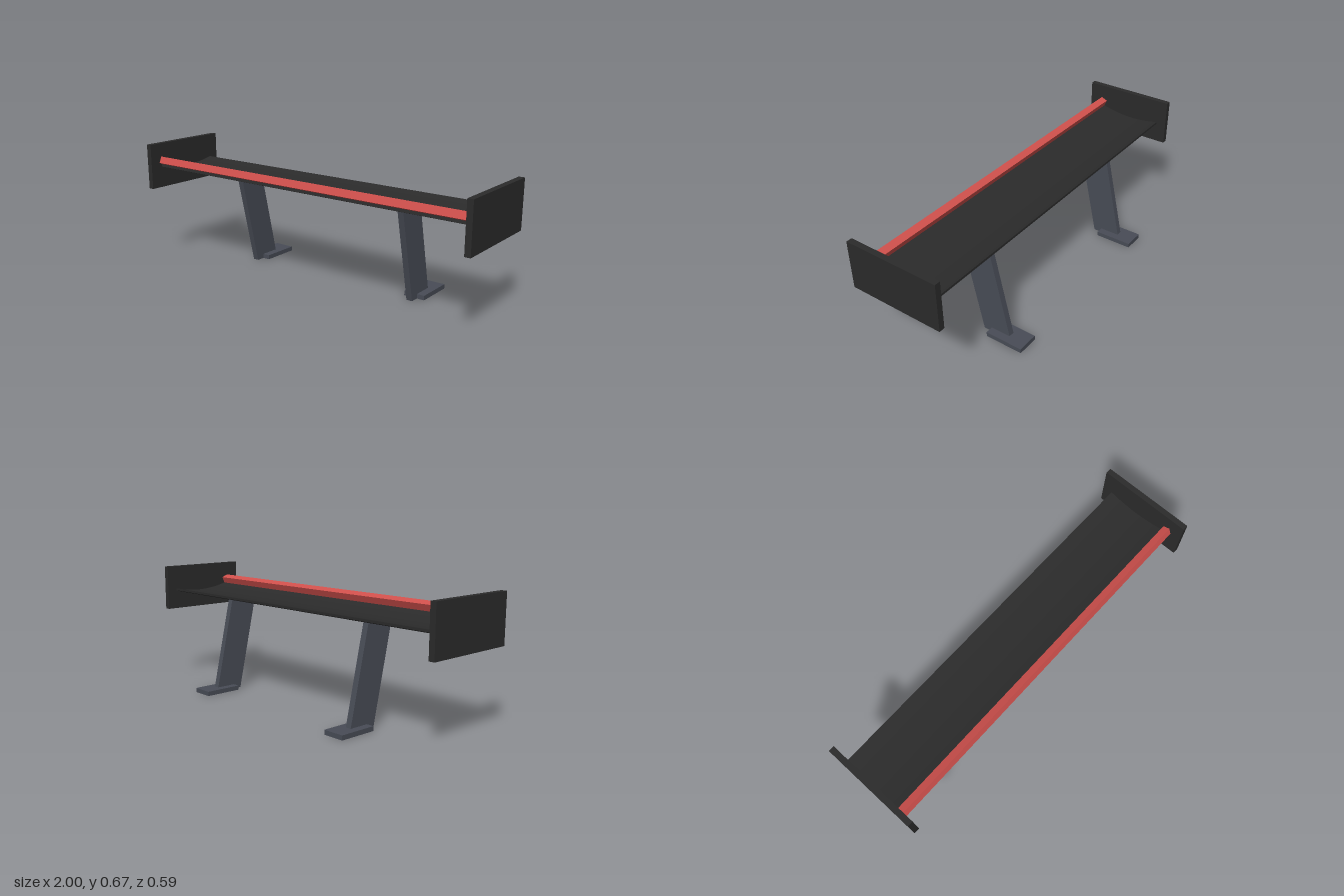
import * as THREE from 'three';
import { toCreasedNormals } from 'three/addons/utils/BufferGeometryUtils.js';

const carbon = new THREE.MeshStandardMaterial({ color: 0x2b2b2b });
carbon.name = 'carbon black';
const metal = new THREE.MeshStandardMaterial({ color: 0x484c56 });
metal.name = 'slate grey';
const red = new THREE.MeshStandardMaterial({ color: 0xd0504c });
red.name = 'flap red';

// Side profile drawn in (z, y), extruded across x and centred at x = 0
function extrudeAcross(shape, width) {
  const geo = new THREE.ExtrudeGeometry(shape, { depth: width, bevelEnabled: false, curveSegments: 16 });
  geo.translate(0, 0, -width / 2);
  geo.rotateY(-Math.PI / 2);
  return geo;
}

function add(parent, name, geo, mat, x = 0, y = 0, z = 0) {
  const mesh = new THREE.Mesh(geo, mat);
  mesh.name = name;
  mesh.position.set(x, y, z);
  parent.add(mesh);
  return mesh;
}

export function createModel() {
  const model = new THREE.Group();
  model.name = 'rearWing';
  const span = 1.945;

  // Main plane: thin cambered blade, hollow side up
  const blade = new THREE.Shape();
  blade.moveTo(-0.15, 0.522);
  blade.quadraticCurveTo(0.03, 0.461, 0.225, 0.532);
  blade.lineTo(0.222, 0.546);
  blade.quadraticCurveTo(0.03, 0.487, -0.15, 0.534);
  blade.closePath();
  add(model, 'mainPlane', toCreasedNormals(extrudeAcross(blade, span), 0.6), carbon);

  // Square strip along the trailing edge, tipped with the wing
  const flap = add(model, 'trailingFlap', new THREE.BoxGeometry(span, 0.038, 0.038), red, 0, 0.565, 0.215);
  flap.rotation.x = -0.4;

  // Slanted strut profile
  const strut = new THREE.Shape();
  strut.moveTo(-0.045, 0);
  strut.lineTo(-0.205, 0);
  strut.lineTo(-0.089, 0.515);
  strut.lineTo(0.069, 0.507);
  strut.closePath();

  for (const [side, s] of [['left', 1], ['right', -1]]) {
    add(model, side + 'EndPlate', new THREE.BoxGeometry(0.03, 0.25, 0.502), carbon, s * 0.985, 0.54, 0.046);
    add(model, side + 'Strut', extrudeAcross(strut, 0.032), metal, s * 0.514, 0, 0);
    add(model, side + 'Foot', new THREE.BoxGeometry(0.115, 0.024, 0.206), metal, s * 0.514, 0.012, -0.194);
  }
  return model;
}
